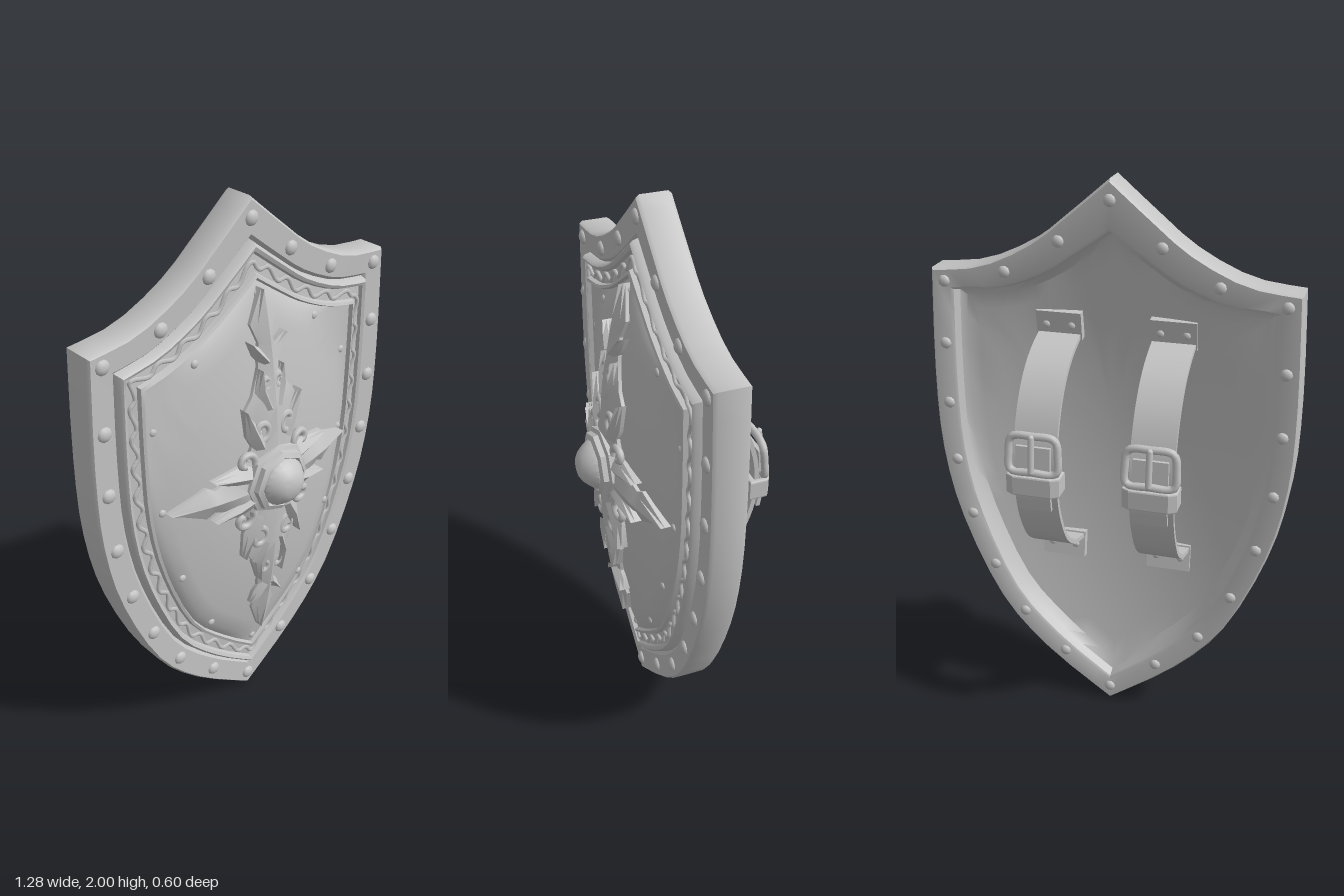
import * as THREE from 'three';
import { toCreasedNormals } from 'three/addons/utils/BufferGeometryUtils.js';

const V3 = (x, y, z) => new THREE.Vector3(x, y, z);
const CY = 1.06;

// Skin rows of points; across-row direction x row direction faces outward
function grid(rows, closed, crease = 0.6) {
  const pos = [];
  const tri = (a, b, c) => {
    const n = b.clone().sub(a).cross(c.clone().sub(a));
    if (n.length() > 1e-9) pos.push(...a.toArray(), ...b.toArray(), ...c.toArray());
  };
  for (let j = 0; j < rows.length - 1; j++) {
    const r = rows[j], s = rows[j + 1], n = r.length;
    for (let i = 0; i < (closed ? n : n - 1); i++) {
      const k = (i + 1) % n;
      tri(r[i], r[k], s[k]);
      tri(r[i], s[k], s[i]);
    }
  }
  const g = new THREE.BufferGeometry();
  g.setAttribute('position', new THREE.Float32BufferAttribute(pos, 3));
  return toCreasedNormals(g, crease);
}

// Half outline (bottom tip, side, shoulder, peak) mirrored into a full ring
function halfRing(side, top) {
  const curve = p => new THREE.SplineCurve(p.map(q => new THREE.Vector2(...q)));
  const half = [...curve(side).getPoints(18), ...curve(top).getPoints(10).slice(1)];
  return [...half, ...half.slice(1, -1).reverse().map(p => new THREE.Vector2(-p.x, p.y))];
}
const OUTER = halfRing(
  [[0, 0], [0.25, 0.19], [0.43, 0.4], [0.57, 0.72], [0.63, 1], [0.64, 1.3], [0.625, 1.672]],
  [[0.625, 1.672], [0.45, 1.695], [0.27, 1.78], [0.13, 1.89], [0, 2]]);
const INNER = halfRing(
  [[0, 0.235], [0.125, 0.34], [0.28, 0.51], [0.39, 0.785], [0.44, 1.03], [0.45, 1.28], [0.45, 1.515]],
  [[0.45, 1.515], [0.33, 1.545], [0.2, 1.605], [0.1, 1.67], [0, 1.74]]);
const ring2 = t => OUTER.map((p, i) => p.clone().lerp(INNER[i], t));

// Evenly spaced points around a closed ring
function spaced(t, n) {
  const r = ring2(t);
  return new THREE.Shape([...r, r[0]]).getSpacedPoints(n).slice(0, n);
}

// Bulge of the front panel and matching hollow of the back
const frontZ = (x, y) => 0.09 + 0.095 * Math.max(0, 1 - (x / 0.45) ** 2 - ((y - 1) / 0.76) ** 2);
const backZ = (x, y) => 0.012 + 0.09 * Math.max(0, 1 - (x / 0.54) ** 2 - ((y - 1) / 0.85) ** 2);

const ringAt = (t, z) => ring2(t).map(p => V3(p.x, p.y, z));
const ringScaled = (t, s, zf) => ring2(t).map(p => {
  const x = p.x * s, y = CY + (p.y - CY) * s;
  return V3(x, y, zf(x, y));
});
// The back rim is broader under the peak
const sag = row => row.map(p => V3(p.x, p.y - (p.y > 1.5 ? 0.05 * Math.max(0, 1 - Math.abs(p.x) / 0.5) : 0), p.z));

// Ridged blade lying on the bulge; spine entries are [x, y, half width]
function blade(spine, height = 1) {
  const off = [-1, -1, -0.6, 0, 0.6, 1, 1], h = [-0.02, 0.012, 0.022, 0.036, 0.022, 0.012, -0.02];
  const rows = spine.map(([x, y, w], i) => {
    const a = spine[Math.max(0, i - 1)], b = spine[Math.min(spine.length - 1, i + 1)];
    const d = new THREE.Vector2(b[0] - a[0], b[1] - a[1]).normalize();
    return off.map((o, k) => {
      const px = x + d.y * o * w, py = y - d.x * o * w;
      return V3(px, py, frontZ(px, py) + h[k] * height);
    });
  });
  return grid(rows, false, 0.5);
}

function tube(pts, r, closed = false, n = 24, sides = 6) {
  return new THREE.TubeGeometry(new THREE.CatmullRomCurve3(pts, closed), n, r, sides, closed);
}

// Spiral curl on the bulge
function curl(cx, cy, r, start, turn, flip) {
  const pts = [];
  for (let i = 0; i <= 10; i++) {
    const a = start + turn * i / 10, q = r * (1 - 0.075 * i);
    const x = cx + q * Math.cos(a), y = cy + q * Math.sin(a);
    pts.push(V3(x * flip, y, frontZ(x, y) + 0.02));
  }
  return tube(pts, 0.013);
}

// Leather band: a [z, y] path thickened and extruded across x
function ribbon(path, width, thick, n = 24) {
  const c = new THREE.SplineCurve(path.map(p => new THREE.Vector2(...p)));
  const a = [], b = [];
  for (let i = 0; i <= n; i++) {
    const p = c.getPoint(i / n), t = c.getTangent(i / n);
    a.push(new THREE.Vector2(p.x - t.y * thick / 2, p.y + t.x * thick / 2));
    b.unshift(new THREE.Vector2(p.x + t.y * thick / 2, p.y - t.x * thick / 2));
  }
  const g = new THREE.ExtrudeGeometry(new THREE.Shape([...a, ...b]), { depth: width, bevelEnabled: false });
  g.translate(0, 0, -width / 2).rotateY(-Math.PI / 2);
  return toCreasedNormals(g, 0.6);
}

export function createModel() {
  const model = new THREE.Group();
  model.name = 'shield';
  const steel = new THREE.MeshStandardMaterial({ color: 0xc4c4c4 });
  steel.name = 'grey steel';
  const add = (name, geo, parent = model) => {
    const m = new THREE.Mesh(geo, steel);
    m.name = name;
    parent.add(m);
    return m;
  };

  // Body: hollow back, rim, mouldings and bulging front panel
  const rows = [];
  for (const s of [0, 0.2, 0.4, 0.6, 0.75, 0.88, 0.96]) rows.push(sag(ringScaled(0.48, s, backZ)));
  for (const [t, z] of [[0.49, 0], [0.44, -0.034], [0.39, -0.04]]) rows.push(sag(ringAt(t, z)));
  for (const [t, z] of [[0.04, -0.04], [0, -0.028],
    [0, 0.064], [0.04, 0.076], [0.46, 0.074], [0.52, 0.062], [0.55, 0.088], [0.59, 0.097], [0.65, 0.092],
    [0.68, 0.08], [0.9, 0.084], [0.92, 0.1], [0.97, 0.104], [1, 0.09]]) rows.push(ringAt(t, z));
  for (const s of [0.95, 0.85, 0.7, 0.55, 0.4, 0.2, 0]) rows.push(ringScaled(1, s, frontZ));
  add('body', grid(rows, true));

  // Winding vine on the inner border
  const vine = spaced(0.79, 240).map((p, i) => V3(p.x, p.y, 0.085).add(
    V3(p.x, p.y - CY, 0).normalize().multiplyScalar(0.013 * Math.sin(i * Math.PI / 3))));
  add('borderVine', tube(vine, 0.008, true, 600, 5));

  // Rivets
  const rivets = new THREE.Group();
  rivets.name = 'rivets';
  model.add(rivets);
  const rivet = (x, y, z, r, front) => {
    const g = new THREE.SphereGeometry(r, 10, 4, 0, Math.PI * 2, 0, Math.PI / 2);
    g.scale(1, 0.62, 1).rotateX(front ? Math.PI / 2 : -Math.PI / 2).translate(x, y, z);
    add('rivet', g, rivets);
  };
  for (const p of spaced(0.26, 22)) {
    rivet(p.x, p.y, 0.074, 0.026, true);
    rivet(p.x, p.y, -0.04, 0.021, false);
  }
  for (const p of spaced(1.17, 12)) rivet(p.x, p.y, frontZ(p.x, p.y) - 0.002, 0.015, true);

  // Ornamental cross
  const cross = new THREE.Group();
  cross.name = 'cross';
  model.add(cross);
  add('upperArm', blade([[0, 1.06, 0.14], [0, 1.16, 0.115], [0, 1.25, 0.07], [0, 1.335, 0.118],
    [0, 1.38, 0.08], [0, 1.47, 0.045], [0, 1.52, 0.04], [0, 1.55, 0.032], [0, 1.615, 0.056], [0, 1.72, 0]]), cross);
  add('lowerArm', blade([[0, 1.06, 0.14], [0, 0.95, 0.11], [0, 0.87, 0.1], [0, 0.79, 0.12],
    [0, 0.72, 0.075], [0, 0.64, 0.045], [0, 0.56, 0.04], [0, 0.53, 0.032], [0, 0.475, 0.052], [0, 0.35, 0]]), cross);
  const leaves = [
    [[0.06, 1.2, 0.025], [0.085, 1.26, 0.03], [0.12, 1.35, 0]],
    [[0.02, 1.33, 0.03], [0.045, 1.4, 0.025], [0.045, 1.47, 0]],
    [[0.015, 1.49, 0.02], [0.045, 1.525, 0.018], [0.075, 1.565, 0]],
    [[0.09, 1.1, 0.05], [0.16, 1.115, 0.035], [0.25, 1.13, 0]],
    [[0.09, 1.01, 0.05], [0.16, 0.99, 0.035], [0.25, 0.975, 0]],
    [[0.06, 0.93, 0.035], [0.1, 0.86, 0.032], [0.13, 0.77, 0]],
    [[0.03, 0.8, 0.03], [0.06, 0.72, 0.022], [0.05, 0.63, 0]],
    [[0.015, 0.59, 0.02], [0.045, 0.55, 0.018], [0.07, 0.515, 0]]];
  const curls = [[0.125, 1.16, 0.04, 3.5, -5], [0.135, 0.94, 0.045, 2.6, 5], [0.06, 1.26, 0.04, 4.5, -5],
    [0.07, 0.83, 0.045, 1.8, 5], [0.03, 1.42, 0.025, 4.5, -5], [0.035, 0.68, 0.027, 1.8, 5]];
  for (const s of [1, -1]) {
    add('sideArm', blade([[0, 1.05, 0.14], [0.1, 1.05, 0.12], [0.18, 1.05, 0.065], [0.24, 1.05, 0.042],
      [0.27, 1.05, 0.06], [0.4, 1.05, 0]].map(([x, y, w]) => [x * s, y, w])), cross);
    for (const l of leaves) add('leaf', blade(l.map(([x, y, w]) => [x * s, y, w]), 1.1), cross);
    for (const c of curls) add('scroll', curl(...c, s), cross);
  }

  // Central boss on an eight-sided collar
  const lathe = (pts, n) => toCreasedNormals(new THREE.LatheGeometry(
    pts.map(p => new THREE.Vector2(...p)), n).rotateX(Math.PI / 2).translate(0, CY, 0), 0.6);
  add('bossCollar', lathe([[0.135, 0.17], [0.13, 0.216], [0.115, 0.222], [0.112, 0.24],
    [0.095, 0.248], [0.085, 0.236]], 8), cross);
  add('boss', lathe([[0.088, 0.22], [0.086, 0.248], [0.072, 0.268], [0.055, 0.286], [0.035, 0.298], [0, 0.3]], 20), cross);

  // Arm straps with buckles on the back
  for (const x of [0.2, -0.2]) {
    const strap = new THREE.Group();
    strap.name = 'armStrap';
    strap.position.x = x;
    model.add(strap);
    add('band', ribbon([[0.05, 1.45], [-0.04, 1.415], [-0.12, 1.36], [-0.19, 1.27], [-0.236, 1.15],
      [-0.246, 1.03], [-0.222, 0.9], [-0.155, 0.775], [-0.08, 0.71], [-0.03, 0.685], [0.06, 0.66]], 0.15, 0.016, 40), strap);
    add('looseEnd', ribbon([[-0.262, 1.16], [-0.27, 1.06], [-0.275, 1], [-0.265, 0.93]], 0.12, 0.014, 10), strap);
    // Riveted end tabs
    for (const [y, z, tilt] of [[1.485, 0.052, 0.15], [0.625, 0.06, -0.15]]) {
      const tab = add('endTab', new THREE.BoxGeometry(0.16, 0.1, 0.03), strap);
      tab.position.set(0, y, z);
      tab.rotation.x = -tilt;
      for (const dx of [-0.045, 0.045]) rivet(x + dx, y, z - 0.014, 0.014, false);
    }
    // Keeper loop
    const keeper = new THREE.Shape();
    keeper.moveTo(-0.088, -0.03).lineTo(0.088, -0.03).lineTo(0.088, 0.026).lineTo(0.065, 0.04)
      .lineTo(-0.065, 0.04).lineTo(-0.088, 0.026);
    keeper.holes.push(new THREE.Path([[-0.078, -0.018], [-0.078, 0.024], [0.078, 0.024], [0.078, -0.018]]
      .map(p => new THREE.Vector2(...p))));
    const k = new THREE.ExtrudeGeometry(keeper, { depth: 0.06, bevelSize: 0.005, bevelThickness: 0.006, bevelSegments: 2 });
    k.translate(0, 0, -0.03).rotateX(-Math.PI / 2);
    add('keeper', k, strap).position.set(0, 1.025, -0.252);
    // Buckle frame and prong
    const frame = [[-0.08, -0.06], [0, -0.064], [0.08, -0.06], [0.086, 0], [0.075, 0.055], [0, 0.064], [-0.075, 0.055], [-0.086, 0]];
    const buckle = add('buckle', tube(frame.map(p => V3(p[0], p[1], -0.006 * Math.cos(p[0] * 18))), 0.014, true, 40, 8), strap);
    buckle.position.set(0, 1.135, -0.266);
    buckle.rotation.x = 0.1;
    const prong = add('prong', new THREE.CapsuleGeometry(0.011, 0.12, 3, 8), strap);
    prong.position.set(0, 1.14, -0.288);
    prong.rotation.x = 0.1;
  }
  return model;
}
